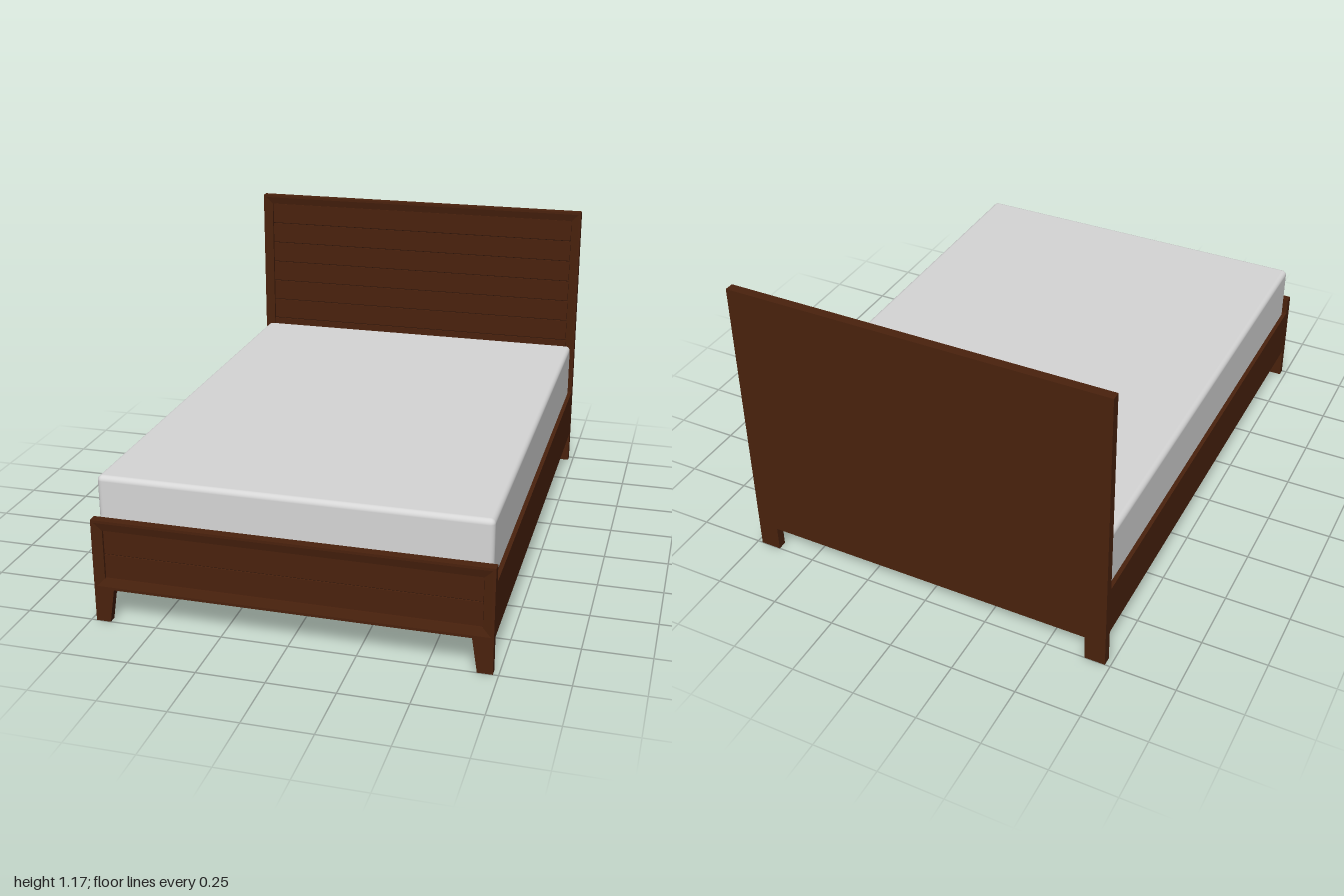
import * as THREE from 'three';
import { RoundedBoxGeometry } from 'three/addons/geometries/RoundedBoxGeometry.js';

const wood = new THREE.MeshStandardMaterial({ color: 0x4a220d });
const groove = new THREE.MeshStandardMaterial({ color: 0x2a1207 });
const linen = new THREE.MeshStandardMaterial({ color: 0xd6d6d6 });
const slatWood = new THREE.MeshStandardMaterial({ color: 0xb3a482 });
wood.name = 'dark wood';
groove.name = 'groove shadow wood';
linen.name = 'mattress fabric';
slatWood.name = 'slat wood';

const HALF_W = 0.73;

function add(parent, name, geometry, material) {
  const mesh = new THREE.Mesh(geometry, material);
  mesh.name = name;
  parent.add(mesh);
  return mesh;
}

// Box given by its lower and upper limits on each axis
function box(parent, name, material, [x0, x1], [y0, y1], [z0, z1]) {
  const mesh = add(parent, name, new THREE.BoxGeometry(x1 - x0, y1 - y0, z1 - z0), material);
  mesh.position.set((x0 + x1) / 2, (y0 + y1) / 2, (z0 + z1) / 2);
  return mesh;
}

// Mitred picture frame: rectangular rings [side inset, bottom inset, z] joined by flat quads
function frameGeometry(y0, y1, rings) {
  const corners = rings.map(([inset, low, z]) => {
    const x = HALF_W - inset;
    return [[-x, y0 + low, z], [x, y0 + low, z], [x, y1 - inset, z], [-x, y1 - inset, z]];
  });
  const positions = [];
  for (let r = 0; r + 1 < rings.length; r++) {
    for (let i = 0; i < 4; i++) {
      const j = (i + 1) % 4;
      const a = corners[r][i], b = corners[r][j], c = corners[r + 1][j], d = corners[r + 1][i];
      positions.push(...a, ...b, ...c, ...a, ...c, ...d);
    }
  }
  const geometry = new THREE.BufferGeometry();
  geometry.setAttribute('position', new THREE.Float32BufferAttribute(positions, 3));
  geometry.computeVertexNormals();
  return geometry;
}

// Board with a sloped frame around recessed horizontal planks
function panelBoard(name, y0, y1, zBack, zFront, bottomInset, planks) {
  const group = new THREE.Group();
  group.name = name;
  const zBed = zFront - 0.018;
  const zPlank = zFront - 0.013;
  const inset = 0.04;
  box(group, 'boardBack', wood, [-HALF_W, HALF_W], [y0, y1], [zBack, zBed - 0.002]);
  add(group, 'boardFrame', frameGeometry(y0, y1, [
    [0, 0, zBed - 0.002], [0, 0, zFront], [0.01, 0.01, zFront],
    [inset, bottomInset, zFront - 0.007], [inset, bottomInset, zBed - 0.002],
  ]), wood);
  const x = HALF_W - inset;
  const low = y0 + bottomInset, high = y1 - inset;
  box(group, 'grooveBacking', groove, [-x, x], [low, high], [zBed - 0.002, zBed]);
  const pitch = (high - low) / planks;
  for (let i = 0; i < planks; i++) {
    const bottom = low + i * pitch;
    box(group, 'plank', wood, [-x + 0.002, x - 0.002],
      [bottom + 0.002, bottom + pitch - 0.002], [zBed, zPlank]);
  }
  return group;
}

// Leg whose inner edge tapers toward the floor
function taperedLeg(side) {
  const points = [[0.675, 0], [0.73, 0], [0.73, 0.13], [0.655, 0.13]];
  const shape = new THREE.Shape(points.map(([x, y]) => new THREE.Vector2(side * x, y)));
  return new THREE.ExtrudeGeometry(shape, { depth: 0.03, bevelEnabled: false });
}

export function createModel() {
  const bed = new THREE.Group();
  bed.name = 'bed';

  // Headboard and footboard
  bed.add(panelBoard('headboard', 0.10, 1.165, -1, -0.965, 0.11, 10));
  bed.add(panelBoard('footboard', 0.13, 0.40, 0.965, 1, 0.04, 2));

  for (const side of [-1, 1]) {
    const span = (a, b) => (side > 0 ? [a, b] : [-b, -a]);
    // Legs
    box(bed, 'headboardLeg', wood, span(0.65, HALF_W), [0, 0.10], [-1, -0.965]);
    add(bed, 'footboardLeg', taperedLeg(side), wood).position.z = 0.97;
    // Side rail and the ledge carrying the slats
    box(bed, 'sideRail', wood, span(0.708, HALF_W), [0.13, 0.335], [-0.965, 0.965]);
    box(bed, 'slatLedge', wood, span(0.685, 0.708), [0.25, 0.28], [-0.965, 0.965]);
  }

  // Slats across the bed, with a wider one at the foot
  const slatX = [-0.707, 0.707], slatY = [0.28, 0.298];
  box(bed, 'footSlat', slatWood, slatX, slatY, [0.83, 0.96]);
  const count = 17, pitch = 1.78 / count;
  for (let i = 0; i < count; i++) {
    const z = -0.96 + i * pitch;
    box(bed, 'slat', slatWood, slatX, slatY, [z, z + 0.075]);
  }

  // Mattress
  const mattress = add(bed, 'mattress', new RoundedBoxGeometry(1.428, 0.257, 1.926, 4, 0.02), linen);
  mattress.position.set(0, 0.4275, 0);

  return bed;
}
